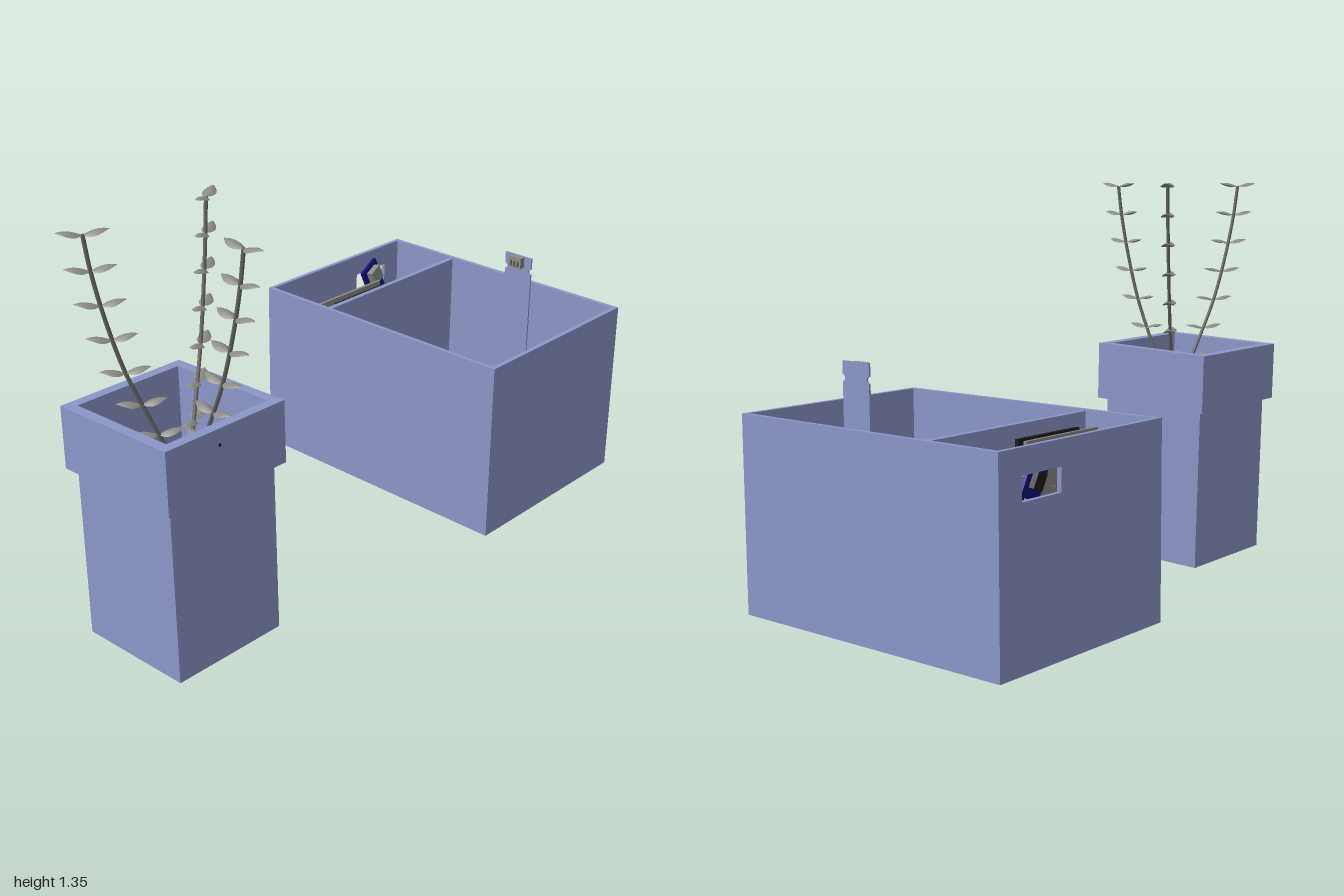
import * as THREE from 'three';

const mat = (color) => new THREE.MeshStandardMaterial({ color, side: THREE.DoubleSide });
const shell = mat(0x8c96c8), grey = mat(0x8c8c84), dark = mat(0x66665f),
  navy = mat(0x101080), black = mat(0x1c1c1c), red = mat(0x701010);

function add(parent, name, geo, material) {
  const m = new THREE.Mesh(geo, material);
  m.name = name;
  parent.add(m);
  return m;
}

// Box given by its lower and upper corners
function span(parent, name, [x0, y0, z0], [x1, y1, z1], material) {
  const m = add(parent, name, new THREE.BoxGeometry(x1 - x0, y1 - y0, z1 - z0), material);
  m.position.set((x0 + x1) / 2, (y0 + y1) / 2, (z0 + z1) / 2);
  return m;
}

function rect(path, x0, y0, x1, y1) {
  return path.moveTo(x0, y0).lineTo(x1, y0).lineTo(x1, y1).lineTo(x0, y1).closePath();
}

// Upright square tube, open at top and bottom
function squareTube(outer, inner, height) {
  const s = rect(new THREE.Shape(), -outer / 2, -outer / 2, outer / 2, outer / 2);
  s.holes.push(rect(new THREE.Path(), -inner / 2, -inner / 2, inner / 2, inner / 2));
  return new THREE.ExtrudeGeometry(s, { depth: height, bevelEnabled: false }).rotateX(-Math.PI / 2);
}

function makeTank() {
  const g = new THREE.Group();
  g.name = 'waterTank';
  const X = 0.505, y0 = 0.07, y1 = 0.68, zb = -1, zf = -0.295, t = 0.015;
  span(g, 'tankFloor', [-X, y0, zb], [X, y0 + t, zf], shell);
  span(g, 'tankFront', [-X, y0, zf - t], [X, y1, zf], shell);
  span(g, 'tankBack', [-X, y0, zb], [X, y1, zb + t], shell);
  span(g, 'tankLeft', [X - t, y0, zb + t], [X, y1, zf - t], shell);
  span(g, 'tankDivider', [-0.235, y0, zb + t], [-0.217, y1 - 0.005, zf - t], shell);
  // Right wall with the cable window
  const s = rect(new THREE.Shape(), -zf + t, y0, -zb - t, y1);
  s.holes.push(rect(new THREE.Path(), 0.75, 0.535, 0.91, 0.605));
  const wall = new THREE.ExtrudeGeometry(s, { depth: t, bevelEnabled: false }).rotateY(Math.PI / 2);
  add(g, 'tankRight', wall, shell).position.x = -X;
  return g;
}

// Tall level sensor standing in the water
function makeLevelSensor() {
  const g = new THREE.Group();
  g.name = 'levelSensor';
  const s = new THREE.Shape();
  s.moveTo(-0.055, -0.5).lineTo(0.055, -0.5).lineTo(0.055, -0.01)
    .absarc(0.055, 0, 0.01, -Math.PI / 2, Math.PI / 2, true)
    .lineTo(0.055, 0.05).lineTo(-0.055, 0.05).lineTo(-0.055, 0.01)
    .absarc(-0.055, 0, 0.01, Math.PI / 2, -Math.PI / 2, true).lineTo(-0.055, -0.5);
  add(g, 'sensorBoard', new THREE.ExtrudeGeometry(s, { depth: 0.006, bevelEnabled: false }), shell);
  span(g, 'sensorPlug', [-0.025, 0.01, 0.006], [0.025, 0.048, 0.028], grey);
  for (const x of [-0.014, 0, 0.014]) span(g, 'sensorPin', [x - 0.003, 0.015, 0.028], [x + 0.003, 0.035, 0.032], dark);
  g.position.set(0.195, 0.79, -0.833);
  return g;
}

function makePump() {
  const g = new THREE.Group();
  g.name = 'pump';
  add(g, 'pumpBody', new THREE.CylinderGeometry(0.055, 0.055, 0.13, 32), grey).position.y = 0.065;
  add(g, 'pumpInlet', new THREE.CylinderGeometry(0.012, 0.012, 0.015, 16), dark).position.set(0, 0.137, -0.025);
  span(g, 'pumpOutlet', [-0.055, 0.05, 0], [-0.02, 0.09, 0.085], grey);
  span(g, 'pumpFoot', [-0.05, 0, -0.058], [0.05, 0.02, -0.05], grey);
  g.position.set(-0.145, 0.085, -0.41);
  return g;
}

function makeElectronics() {
  const g = new THREE.Group();
  g.name = 'electronics';
  // Controller lying on the floor
  span(g, 'controllerBoard', [-0.43, 0.1, -0.94], [-0.24, 0.11, -0.85], navy);
  span(g, 'controllerSocket', [-0.335, 0.11, -0.925], [-0.25, 0.15, -0.86], grey);
  span(g, 'controllerChip', [-0.4, 0.11, -0.915], [-0.36, 0.125, -0.875], black);
  // Upright display board with its parts
  span(g, 'displayBoard', [-0.33, 0.4, -0.69], [-0.32, 0.645, -0.37], grey);
  span(g, 'displayPanel', [-0.292, 0.43, -0.68], [-0.28, 0.645, -0.41], black);
  for (let i = 0; i < 4; i++) {
    const z = -0.65 + i * 0.07;
    span(g, 'displayPost', [-0.32, 0.6, z], [-0.292, 0.615, z + 0.012], grey);
    span(g, 'displayPart', [-0.28, 0.59, z], [-0.268, 0.63, z + 0.03], grey);
    span(g, 'displayPin', [-0.345, 0.5, z], [-0.33, 0.505, z + 0.005], dark);
  }
  for (const z of [-0.65, -0.44]) {
    const knob = add(g, 'displayKnob', new THREE.CylinderGeometry(0.018, 0.018, 0.02, 20), grey);
    knob.rotation.z = Math.PI / 2;
    knob.position.set(-0.272, 0.55, z);
  }
  span(g, 'powerBox', [-0.49, 0.1, -0.63], [-0.43, 0.17, -0.48], grey);
  // Small tilted module behind the cable window
  const m = new THREE.Group();
  m.name = 'windowModule';
  span(m, 'moduleBoard', [-0.006, -0.06, -0.05], [0.006, 0.06, 0.05], navy);
  span(m, 'moduleBlock', [0.006, -0.01, -0.03], [0.03, 0.045, 0.03], grey);
  span(m, 'moduleSocket', [-0.022, -0.03, -0.025], [-0.006, 0.02, 0.025], black);
  m.position.set(-0.462, 0.58, -0.81);
  m.rotation.set(0.35, 0.2, 0.1);
  g.add(m);
  return g;
}

function makePot() {
  const g = new THREE.Group();
  g.name = 'pot';
  add(g, 'potBody', squareTube(0.405, 0.38, 0.56), shell);
  span(g, 'potFloor', [-0.2, 0.001, -0.2], [0.2, 0.015, 0.2], shell);
  add(g, 'potRim', squareTube(0.455, 0.385, 0.2), shell).position.y = 0.56;
  const hole = add(g, 'rimHole', new THREE.CylinderGeometry(0.005, 0.005, 0.004, 12), black);
  hole.rotation.z = Math.PI / 2;
  hole.position.set(0.227, 0.71, 0.03);
  g.position.set(0.115, 0.012, 0.693);
  g.rotation.set(-0.012, 0, 0.036);
  return g;
}

// Two-pronged soil probe leaning in the pot
function makeProbe() {
  const g = new THREE.Group();
  g.name = 'soilProbe';
  span(g, 'probeHead', [-0.045, 0.12, -0.004], [0.045, 0.18, 0.004], red);
  for (const s of [-1, 1]) span(g, 'probeProng', [s * 0.03 - 0.015, -0.1, -0.004], [s * 0.03 + 0.015, 0.12, 0.004], red);
  span(g, 'probePlug', [-0.015, 0.165, -0.012], [0.015, 0.2, 0.012], grey);
  g.rotation.set(-0.4, Math.PI / 2, 0, 'YXZ');
  g.position.set(0.0, 0.35, 0.785);
  return g;
}

// Domed pointed leaf growing along +x
function leafGeometry() {
  const geo = new THREE.PlaneGeometry(1, 1, 10, 4).rotateX(-Math.PI / 2);
  const p = geo.attributes.position;
  for (let i = 0; i < p.count; i++) {
    const t = p.getX(i) + 0.5, v = p.getZ(i) * 2;
    const w = 0.021 * Math.sin(Math.PI * Math.pow(t, 0.85));
    p.setXYZ(i, t * 0.074, 0.014 * Math.sin(t * 2.2) - 0.5 * w * v * v, w * v);
  }
  geo.computeVertexNormals();
  return geo;
}

function makePlant() {
  const g = new THREE.Group();
  g.name = 'plant';
  const curve = new THREE.CatmullRomCurve3([[0, 0.54], [0.105, 0.78], [0.162, 0.92],
    [0.208, 1.08], [0.24, 1.23], [0.255, 1.335]].map(([r, y]) => new THREE.Vector3(r, y, 0)));
  const stemGeo = new THREE.TubeGeometry(curve, 40, 0.006, 8);
  const leafGeo = leafGeometry();
  // Points along the stem where a leaf pair sits
  const samples = curve.getPoints(400);
  for (let k = 0; k < 3; k++) {
    const branch = new THREE.Group();
    branch.name = 'branch';
    add(branch, 'stem', stemGeo, dark);
    for (let i = 0; i < 8; i++) {
      const y = 0.61 + i * 0.1033;
      const p = samples.find((q) => q.y >= y) || samples[400];
      for (const side of [0, Math.PI]) {
        const leaf = add(branch, 'leaf', leafGeo, grey);
        leaf.position.copy(p);
        leaf.rotation.y = side;
      }
    }
    branch.rotation.y = k * Math.PI * 2 / 3;
    g.add(branch);
  }
  g.position.set(0.165, 0, 0.705);
  return g;
}

export function createModel() {
  const model = new THREE.Group();
  model.name = 'planterWithWaterTank';
  model.add(makeTank(), makeLevelSensor(), makePump(), makeElectronics(), makePot(), makeProbe(), makePlant());
  return model;
}
